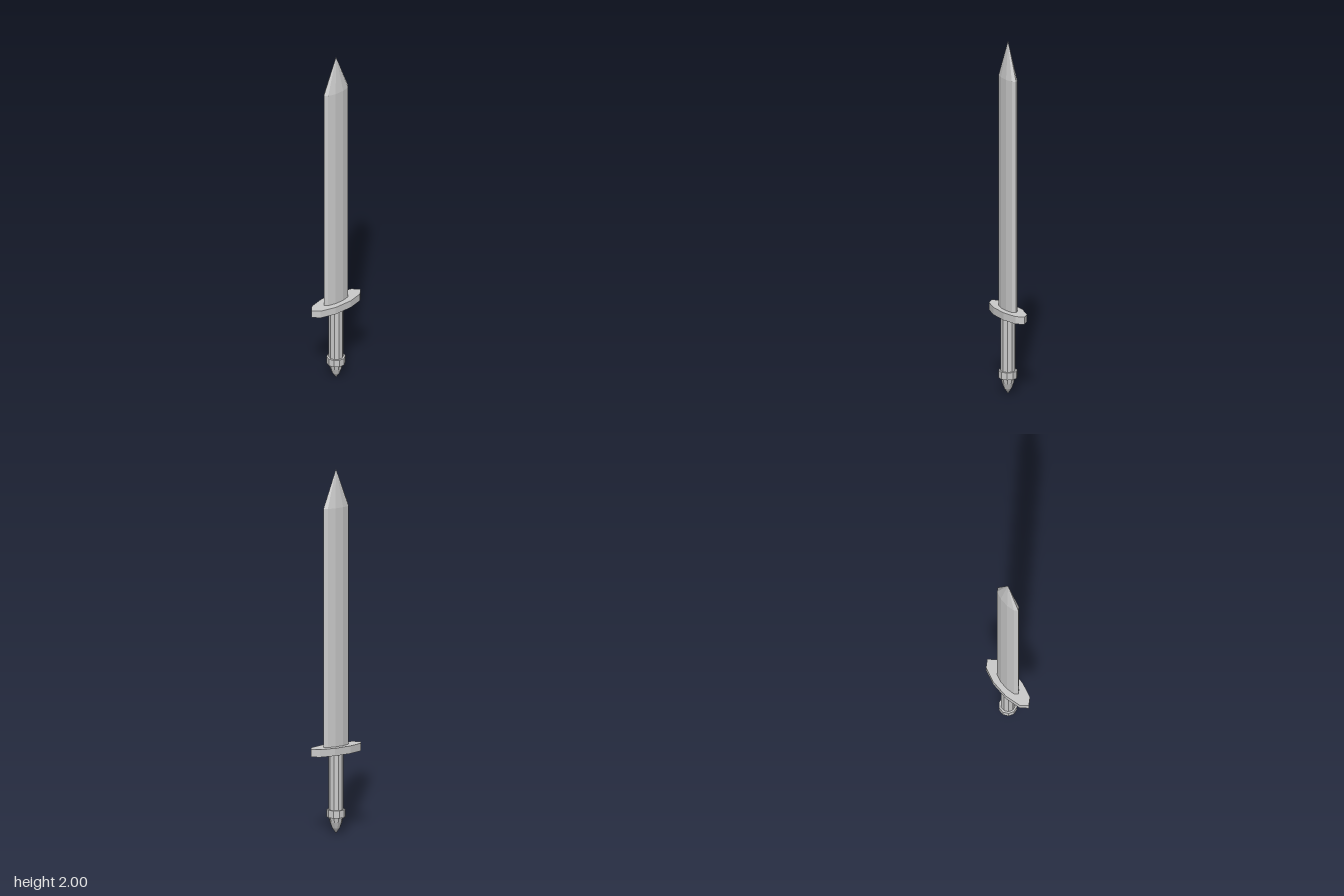
import * as THREE from 'three';

const SIDES = 10;

export function createModel() {
  const sword = new THREE.Group();
  sword.name = 'sword';
  const material = new THREE.MeshStandardMaterial({ color: 0xcccccc, flatShading: true });

  const add = (name, geometry) => {
    const mesh = new THREE.Mesh(geometry, material);
    mesh.name = name;
    sword.add(mesh);
  };

  // Ten-sided elliptical prism or spike between two heights, a corner on the z axis
  const section = (name, y0, y1, rx, rz, topScale = 1) => {
    const geometry = topScale === 0
      ? new THREE.ConeGeometry(1, y1 - y0, SIDES, 1, true)
      : new THREE.CylinderGeometry(topScale, 1, y1 - y0, SIDES);
    geometry.scale(rx, 1, rz).translate(0, (y0 + y1) / 2, 0);
    add(name, geometry);
  };

  // Blade and its point
  section('blade', 0.48, 1.79, 0.0295, 0.087);
  section('bladeTip', 1.79, 2, 0.0295, 0.087, 0);

  // Hilt
  section('guard', 0.44, 0.482, 0.062, 0.174);
  section('grip', 0.13, 0.44, 0.04, 0.04);
  section('collar', 0.091, 0.132, 0.051, 0.051);

  // Pommel, rounded down to a point
  const profile = [[0, 0], [0.021, 0.03], [0.033, 0.062], [0.039, 0.091]]
    .map(([r, y]) => new THREE.Vector2(r, y));
  add('pommel', new THREE.LatheGeometry(profile, SIDES));

  return sword;
}
